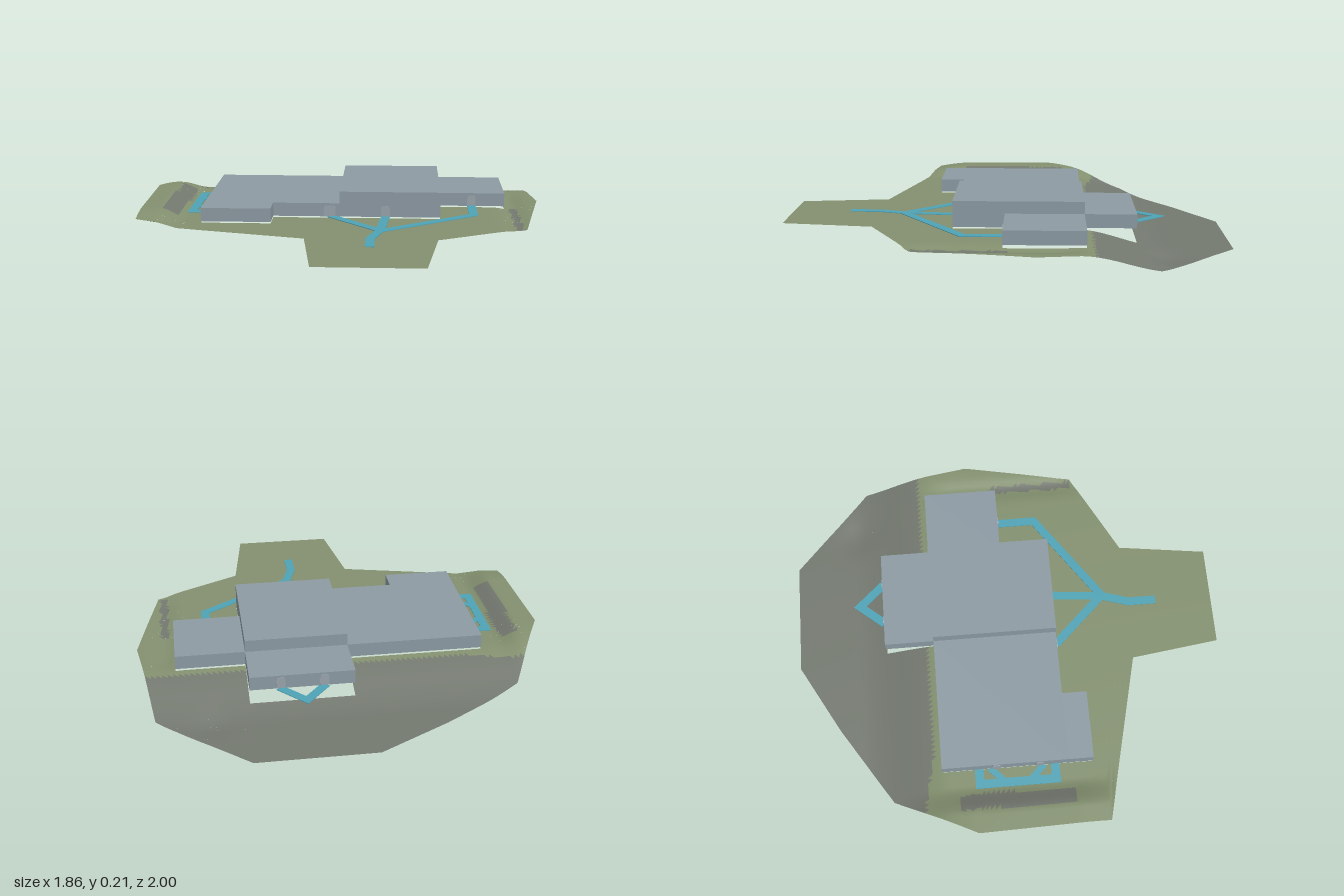
import * as THREE from 'three';

const mat = (name, color, side = THREE.FrontSide) => {
  const m = new THREE.MeshStandardMaterial({ color, side });
  m.name = name;
  return m;
};
const { smoothstep } = THREE.MathUtils;

// Terrain outline as [z, x] pairs, back to front
const LEFT = [[-1, -0.05], [-0.82, -0.37], [-0.58, -0.74], [-0.2, -0.93], [0.4, -0.915], [0.59, -0.145], [1, -0.09]];
const RIGHT = [[-1, 0.47], [-0.65, 0.855], [-0.14, 0.93], [0.38, 0.83], [0.59, 0.43], [1, 0.375]];
// Building footprint cut out of the ground: [zStart, zEnd, xStart, xEnd]
const FOOTPRINT = [[-0.58, -0.35, -0.01, 0.45], [-0.35, 0, -0.63, 0.76], [0, 0.23, -0.63, 0.45], [0.23, 0.345, -0.63, -0.315]];

function edgeAt(line, z) {
  let i = 0;
  while (i < line.length - 2 && z > line[i + 1][0]) i++;
  const [[z0, x0], [z1, x1]] = [line[i], line[i + 1]];
  return x0 + ((x1 - x0) * (z - z0)) / (z1 - z0);
}

// Flat lawn, slope down at the back, bank on one side, shallow ditch on the other
function height(x, z) {
  let y = 0.092 - 0.079 * smoothstep(-z, 0.31, 0.71);
  const along = smoothstep(z, -0.6, -0.2) * (1 - smoothstep(z, 0.25, 0.6));
  y += 0.045 * smoothstep(-x, 0.71, 0.84) * along;
  const lawn = smoothstep(z, -0.42, -0.2) * (1 - smoothstep(z, 0.3, 0.5));
  y -= 0.014 * Math.exp(-(((x - 0.8) / 0.05) ** 2)) * lawn;
  y -= 0.012 * Math.exp(-(((x - 0.62) / 0.09) ** 2) - ((z + 0.71) / 0.08) ** 2);
  return Math.max(0, y);
}

function isRock(x, z) {
  if (z < -0.385 - 0.05 * smoothstep(-x, 0.5, 0.85)) return true;
  if (x > -0.82 && x < -0.745 && z > -0.27 && z < 0.25) return true;
  return x > 0.785 && x < 0.82 && z > -0.02 && z < 0.38;
}

function buildTerrain(grass, rock) {
  const stops = [...new Set([...LEFT, ...RIGHT, ...FOOTPRINT].map((p) => p[0]).concat(0.345))].sort((a, b) => a - b);
  const rows = [];
  for (let i = 0; i < stops.length - 1; i++) {
    const n = Math.ceil((stops[i + 1] - stops[i]) / 0.025);
    for (let k = 0; k < n; k++) rows.push(THREE.MathUtils.lerp(stops[i], stops[i + 1], k / n));
  }
  rows.push(1);
  const data = { grass: { p: [], n: [] }, rock: { p: [], n: [] } };
  const e = 0.005;
  const put = (d, x, z) => {
    d.p.push(x, height(x, z), z);
    const n = new THREE.Vector3(height(x - e, z) - height(x + e, z), 2 * e, height(x, z - e) - height(x, z + e)).normalize();
    d.n.push(n.x, n.y, n.z);
  };
  // One strip of cells between two rows
  const strip = (z0, z1, a0, a1, b0, b1) => {
    const n = Math.max(1, Math.ceil(Math.max(b0 - a0, b1 - a1) / 0.025));
    for (let i = 0; i < n; i++) {
      const [s, t] = [i / n, (i + 1) / n];
      const p = [[a0 + (b0 - a0) * s, z0], [a1 + (b1 - a1) * s, z1], [a1 + (b1 - a1) * t, z1], [a0 + (b0 - a0) * t, z0]];
      for (const tri of [[0, 1, 2], [0, 2, 3]]) {
        const cx = tri.reduce((v, k) => v + p[k][0] / 3, 0);
        const cz = tri.reduce((v, k) => v + p[k][1] / 3, 0);
        const d = isRock(cx, cz) ? data.rock : data.grass;
        tri.forEach((k) => put(d, p[k][0], p[k][1]));
      }
    }
  };
  for (let i = 0; i < rows.length - 1; i++) {
    const [z0, z1] = [rows[i], rows[i + 1]];
    const mid = (z0 + z1) / 2;
    const [l0, l1, r0, r1] = [edgeAt(LEFT, z0), edgeAt(LEFT, z1), edgeAt(RIGHT, z0), edgeAt(RIGHT, z1)];
    const cut = FOOTPRINT.find((f) => mid > f[0] && mid < f[1]);
    if (cut) {
      strip(z0, z1, l0, l1, cut[2], cut[2]);
      strip(z0, z1, cut[3], cut[3], r0, r1);
    } else strip(z0, z1, l0, l1, r0, r1);
  }
  const terrain = new THREE.Group();
  terrain.name = 'terrain';
  for (const [key, m] of [['grass', grass], ['rock', rock]]) {
    const g = new THREE.BufferGeometry();
    g.setAttribute('position', new THREE.Float32BufferAttribute(data[key].p, 3));
    g.setAttribute('normal', new THREE.Float32BufferAttribute(data[key].n, 3));
    const mesh = new THREE.Mesh(g, m);
    mesh.name = key + 'Ground';
    terrain.add(mesh);
  }
  return terrain;
}

export function createModel() {
  const model = new THREE.Group();
  const grass = mat('grass green', 0x83906f, THREE.DoubleSide);
  const rock = mat('rock grey', 0x747970, THREE.DoubleSide);
  const wall = mat('building blue grey', 0x8c9aa3);
  const pathMat = mat('path teal', 0x4fa3b6);
  const doorMat = mat('door grey', 0x98a4ab);

  model.add(buildTerrain(grass, rock));

  // Building blocks
  const BASE = 0.098;
  const block = (name, x0, x1, z0, z1, top) => {
    const mesh = new THREE.Mesh(new THREE.BoxGeometry(x1 - x0, top - BASE, z1 - z0), wall);
    mesh.position.set((x0 + x1) / 2, (top + BASE) / 2, (z0 + z1) / 2);
    mesh.name = name;
    model.add(mesh);
  };
  block('mainHall', -0.01, 0.45, -0.35, 0.23, 0.215);
  block('longWing', -0.63, -0.01, -0.35, 0.23, 0.16);
  block('longWingPorch', -0.63, -0.315, 0.23, 0.345, 0.16);
  block('backWing', -0.01, 0.45, -0.58, -0.35, 0.16);
  block('sideWing', 0.45, 0.76, -0.35, 0, 0.16);

  // Arched doors, thin plates on the walls
  const door = (x, z, turn, w = 0.04, h = 0.05) => {
    const s = new THREE.Shape();
    const r = w * 0.35;
    s.moveTo(-w / 2, 0);
    s.lineTo(w / 2, 0);
    s.lineTo(w / 2, h - r);
    s.quadraticCurveTo(w / 2, h, w / 2 - r, h);
    s.lineTo(-w / 2 + r, h);
    s.quadraticCurveTo(-w / 2, h, -w / 2, h - r);
    const mesh = new THREE.Mesh(new THREE.ExtrudeGeometry(s, { depth: 0.004, bevelEnabled: false }), doorMat);
    mesh.position.set(x, 0.1, z);
    mesh.rotation.y = turn;
    mesh.name = 'door';
    model.add(mesh);
  };
  door(-0.055, 0.23, 0, 0.055);
  door(0.2, 0.23, 0);
  door(0.605, 0, 0);
  door(0.125, -0.58, Math.PI);
  door(0.315, -0.58, Math.PI);
  door(-0.63, -0.1, -Math.PI / 2);
  door(-0.63, 0.1, -Math.PI / 2);

  // Flat paths with mitred corners, drawn along a line of [x, z] points
  const path = (name, pts, w = 0.04) => {
    const v = pts.map(([x, z]) => new THREE.Vector2(x, -z));
    const [a, b] = [[], []];
    v.forEach((p, i) => {
      const d0 = (i ? p.clone().sub(v[i - 1]) : v[1].clone().sub(p)).normalize();
      const d1 = (i < v.length - 1 ? v[i + 1].clone().sub(p) : d0.clone()).normalize();
      const t = d0.clone().add(d1).normalize();
      const n = new THREE.Vector2(-t.y, t.x).multiplyScalar(w / 2 / Math.max(0.4, t.dot(d0)));
      a.push(p.clone().add(n));
      b.unshift(p.clone().sub(n));
    });
    const g = new THREE.ExtrudeGeometry(new THREE.Shape([...a, ...b]), { depth: 0.003, bevelEnabled: false });
    g.rotateX(-Math.PI / 2);
    const mesh = new THREE.Mesh(g, pathMat);
    mesh.position.y = 0.098;
    mesh.name = name;
    model.add(mesh);
  };
  path('entrancePath', [[0.2, 0.23], [0.18, 0.47], [0.14, 0.6], [0.14, 0.73]]);
  path('longWingPath', [[-0.05, 0.23], [0.18, 0.47]]);
  path('sideWingPath', [[0.605, 0], [0.605, 0.18], [0.18, 0.475]]);
  path('backPath', [[0.12, -0.58], [0.215, -0.695], [0.32, -0.58]]);
  path('terracePath', [[-0.63, -0.18], [-0.7, -0.18], [-0.7, 0.17], [-0.63, 0.17]]);
  path('terraceBranch', [[-0.7, -0.06], [-0.63, -0.13]], 0.03);
  path('terraceBranch', [[-0.7, 0.05], [-0.63, 0.12]], 0.03);

  return model;
}
